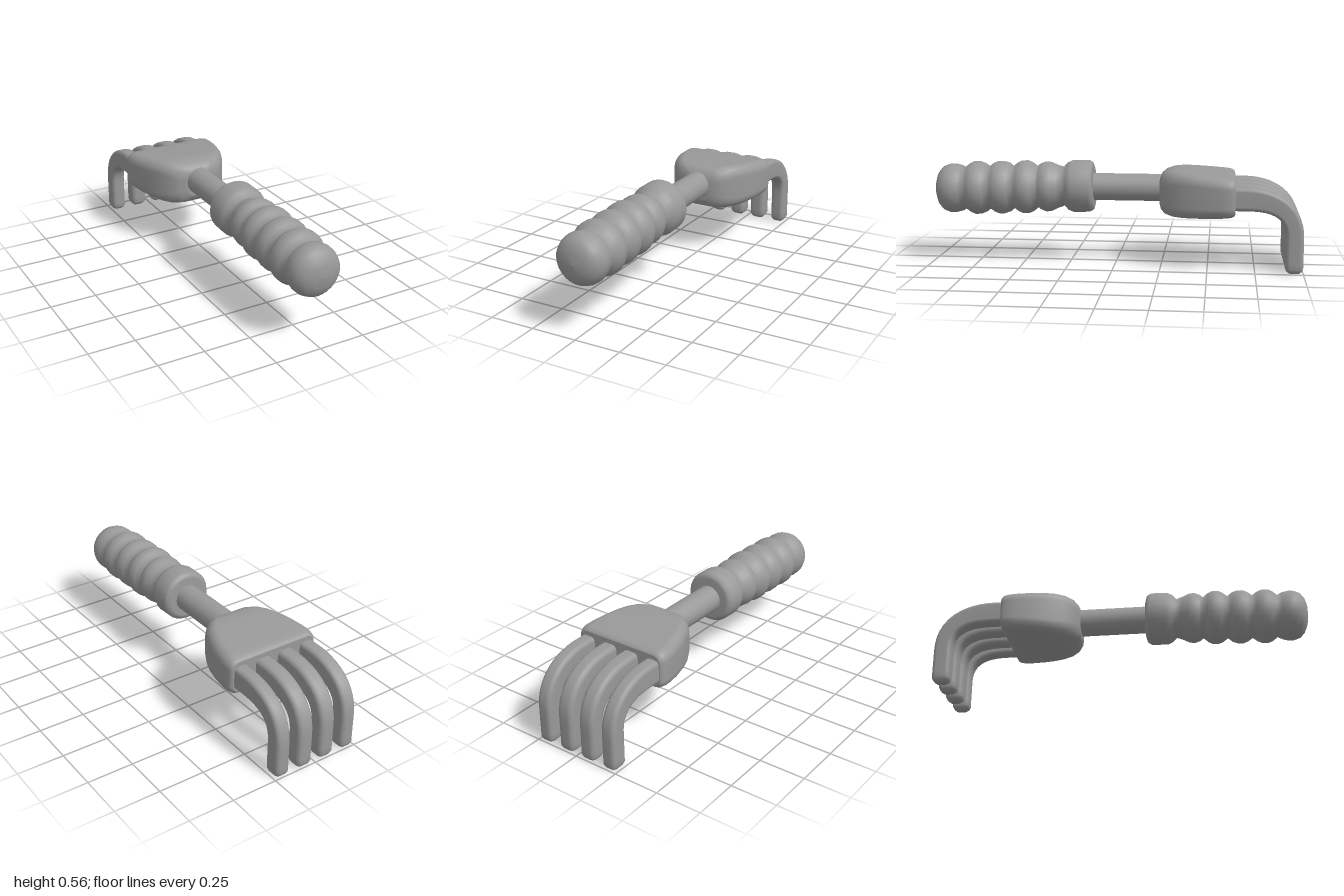
import * as THREE from 'three';

const metal = new THREE.MeshStandardMaterial({ color: 0x999999 });
metal.name = 'grey';

// Rounded rectangle outline, counter-clockwise, as [u, v] pairs
function roundedRect(hw, hh, r, steps = 4) {
  const pts = [];
  const corners = [[1, 1], [-1, 1], [-1, -1], [1, -1]];
  corners.forEach(([sx, sy], q) => {
    for (let i = 0; i <= steps; i++) {
      const a = (q + i / steps) * Math.PI / 2;
      pts.push([sx * (hw - r) + r * Math.cos(a), sy * (hh - r) + r * Math.sin(a)]);
    }
  });
  return pts;
}

// Skin a list of rings of Vector3 and close both ends
function loft(rings) {
  const n = rings[0].length;
  const pos = [], idx = [];
  rings.forEach(ring => ring.forEach(p => pos.push(p.x, p.y, p.z)));
  for (let i = 0; i < rings.length - 1; i++) {
    for (let j = 0; j < n; j++) {
      const a = i * n + j, b = i * n + (j + 1) % n;
      idx.push(a, b, a + n, b, b + n, a + n);
    }
  }
  [[rings[0], true], [rings[rings.length - 1], false]].forEach(([ring, start]) => {
    const base = pos.length / 3;
    const c = ring.reduce((s, p) => s.add(p), new THREE.Vector3()).divideScalar(n);
    [...ring, c].forEach(p => pos.push(p.x, p.y, p.z));
    for (let j = 0; j < n; j++) {
      const a = base + j, b = base + (j + 1) % n;
      if (start) idx.push(base + n, b, a); else idx.push(base + n, a, b);
    }
  });
  const g = new THREE.BufferGeometry();
  g.setAttribute('position', new THREE.Float32BufferAttribute(pos, 3));
  g.setIndex(idx);
  g.computeVertexNormals();
  return g;
}

// Ring across the y-z plane direction (dy, dz), with u along x
function ringAt(x, y, z, dy, dz, outline) {
  return outline.map(([u, v]) => new THREE.Vector3(x + u, y + v * dz, z - v * dy));
}

function tineGeometry(x, halfWidth) {
  // Centre line in the y-z plane: straight root, bend, straight prong
  const path = new THREE.CurvePath();
  const p = (z, y) => new THREE.Vector3(0, y, z);
  path.add(new THREE.LineCurve3(p(-0.6, 0.388), p(-0.7, 0.388)));
  path.add(new THREE.CubicBezierCurve3(p(-0.7, 0.388), p(-0.86, 0.388), p(-0.953, 0.32), p(-0.953, 0.19)));
  path.add(new THREE.LineCurve3(p(-0.953, 0.19), p(-0.953, 0.025)));
  const rings = [];
  const add = (c, t, w, h) => rings.push(ringAt(x, c.y, c.z, t.y, t.z, roundedRect(w, h, Math.min(w, h) * 0.55, 3)));
  const steps = 20;
  for (let i = 0; i <= steps; i++) {
    const s = i / steps;
    const h = 0.047 + 0.015 * (1 - THREE.MathUtils.smoothstep(s, 0.15, 0.65));
    add(path.getPointAt(s), path.getTangentAt(s), halfWidth, h);
  }
  // Tapered tip
  const down = new THREE.Vector3(0, -1, 0);
  add(p(-0.953, 0.01), down, halfWidth * 0.84, 0.04);
  add(p(-0.953, 0), down, halfWidth * 0.62, 0.026);
  return loft(rings);
}

export function createModel() {
  const model = new THREE.Group();
  const add = (name, geometry) => {
    const mesh = new THREE.Mesh(geometry, metal);
    mesh.name = name;
    model.add(mesh);
    return mesh;
  };

  // Ribbed grip: [radius, z], collar first, rounded pommel last
  const profile = [
    [0, 0.122], [0.11, 0.122], [0.13, 0.128], [0.142, 0.148], [0.143, 0.235], [0.13, 0.265], [0.107, 0.287],
    [0.118, 0.32], [0.134, 0.355], [0.138, 0.385], [0.127, 0.415], [0.113, 0.433],
    [0.135, 0.46], [0.146, 0.485], [0.146, 0.515], [0.135, 0.54], [0.116, 0.566],
    [0.135, 0.59], [0.145, 0.62], [0.145, 0.65], [0.135, 0.675], [0.117, 0.7],
    [0.135, 0.725], [0.146, 0.752], [0.146, 0.785], [0.135, 0.81], [0.115, 0.835],
    [0.128, 0.86], [0.136, 0.895], [0.134, 0.925], [0.121, 0.957], [0.095, 0.98], [0.055, 0.995], [0, 1],
  ].map(([r, z]) => new THREE.Vector2(r, z));
  const grip = add('grip', new THREE.LatheGeometry(profile, 28).rotateX(Math.PI / 2));
  grip.position.y = 0.418;
  grip.rotation.x = 0.031;

  // Shaft between grip and palm
  const shaft = add('shaft', new THREE.CylinderGeometry(0.074, 0.074, 0.46, 24).rotateX(Math.PI / 2));
  shaft.position.set(0, 0.41, -0.07);

  // Palm: [z, half width, bottom, top, corner radius]
  const sections = [
    [-0.238, 0.075, 0.325, 0.465, 0.045],
    [-0.247, 0.115, 0.3, 0.486, 0.06],
    [-0.27, 0.15, 0.282, 0.505, 0.065],
    [-0.31, 0.184, 0.273, 0.516, 0.065],
    [-0.36, 0.212, 0.272, 0.517, 0.062],
    [-0.42, 0.236, 0.274, 0.513, 0.06],
    [-0.49, 0.255, 0.278, 0.506, 0.058],
    [-0.56, 0.267, 0.282, 0.499, 0.056],
    [-0.6, 0.269, 0.285, 0.495, 0.054],
    [-0.625, 0.265, 0.289, 0.49, 0.05],
    [-0.638, 0.259, 0.296, 0.482, 0.045],
    [-0.643, 0.25, 0.304, 0.474, 0.04],
  ];
  add('palm', loft(sections.map(([z, w, lo, hi, r]) =>
    ringAt(0, (lo + hi) / 2, z, 0, -1, roundedRect(w, (hi - lo) / 2, r)))));

  // Four curved tines
  const tines = new THREE.Group();
  tines.name = 'tines';
  [[-0.205, 0.04], [-0.07, 0.045], [0.066, 0.045], [0.203, 0.04]].forEach(([x, w]) => {
    const tine = new THREE.Mesh(tineGeometry(x, w), metal);
    tine.name = 'tine';
    tines.add(tine);
  });
  model.add(tines);
  return model;
}
